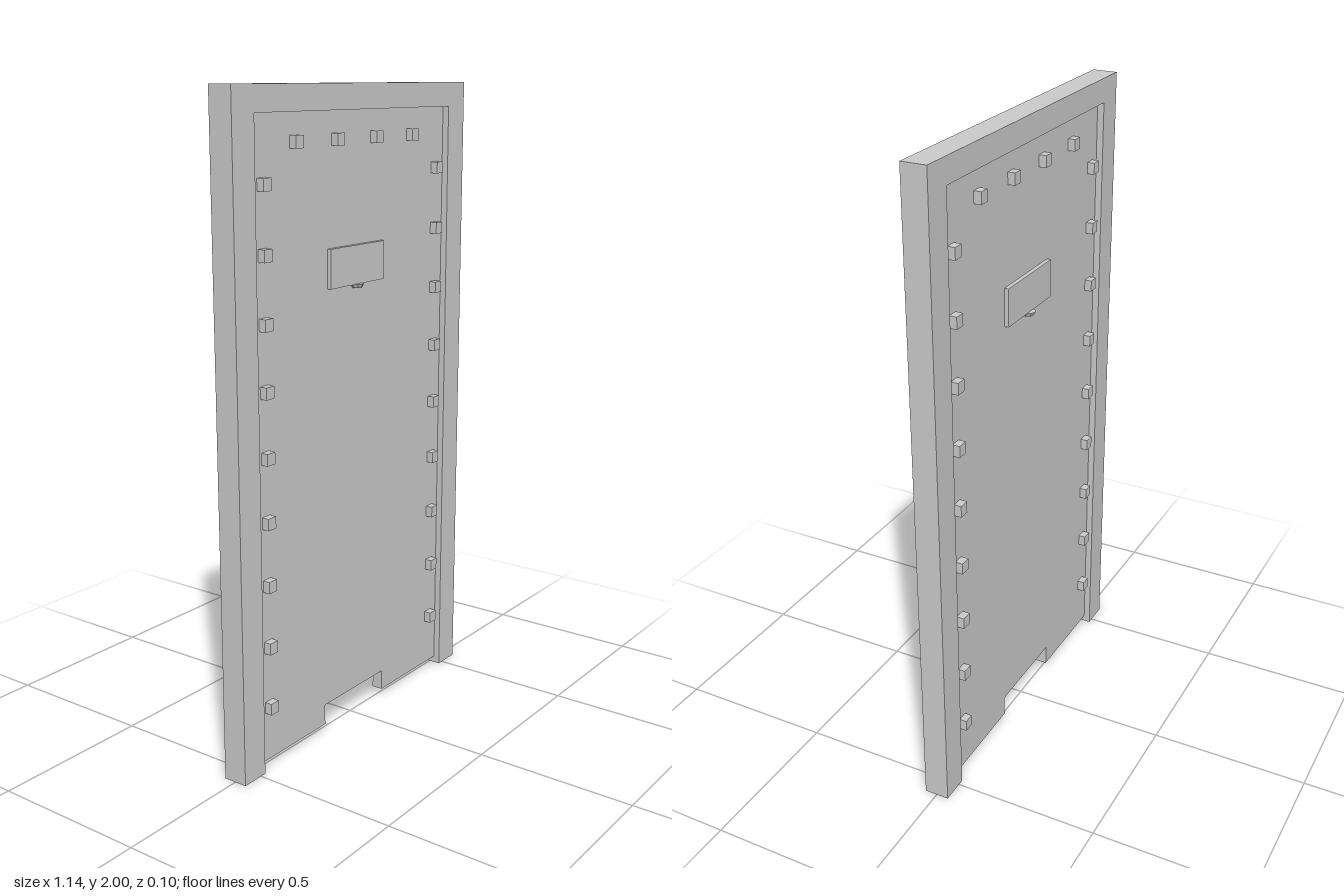
import * as THREE from 'three';

const material = new THREE.MeshStandardMaterial({ color: 0xcccccc, flatShading: true });

// Extrude an outline of [x, y] points, centred on z = 0
function slab(name, points, depth) {
  const shape = new THREE.Shape(points.map(([x, y]) => new THREE.Vector2(x, y)));
  const geometry = new THREE.ExtrudeGeometry(shape, { depth, bevelEnabled: false });
  geometry.translate(0, 0, -depth / 2);
  const mesh = new THREE.Mesh(geometry, material);
  mesh.name = name;
  return mesh;
}

function box(name, w, h, d, x, y, z) {
  const mesh = new THREE.Mesh(new THREE.BoxGeometry(w, h, d), material);
  mesh.name = name;
  mesh.position.set(x, y, z);
  return mesh;
}

// Rivets, viewing hatch and its finger tab, as fitted to one face of the door
function createFittings(name, panelZ) {
  const group = new THREE.Group();
  group.name = name;
  const rivet = (x, y) => group.add(box('rivet', 0.034, 0.036, 0.024, x, y, panelZ + 0.011));

  for (let i = 0; i < 9; i++) {
    for (const side of [-1, 1]) rivet(side * 0.432, 0.195 + i * 0.1925);
  }
  for (let i = 0; i < 4; i++) rivet((i - 1.5) * 0.1925, 1.843);

  group.add(box('hatch', 0.272, 0.118, 0.014, 0, 1.471, panelZ + 0.006));

  // Small tapered finger tab under the hatch
  const tab = new THREE.Mesh(new THREE.CylinderGeometry(0.022, 0.016, 0.012, 8), material);
  tab.name = 'hatchTab';
  tab.position.set(0, 1.407, panelZ + 0.008);
  group.add(tab);
  return group;
}

export function createModel() {
  const model = new THREE.Group();
  model.name = 'door';

  // Three-sided surround, open at the floor
  model.add(slab('frame', [
    [-0.571, 0], [-0.48, 0], [-0.48, 1.925], [0.48, 1.925],
    [0.48, 0], [0.571, 0], [0.571, 2], [-0.571, 2],
  ], 0.078));

  // Recessed door leaf with a slot cut in its lower edge
  const panelDepth = 0.036;
  model.add(slab('panel', [
    [-0.48, 0.022], [-0.157, 0.022], [-0.157, 0.088], [0.155, 0.088],
    [0.155, 0.022], [0.48, 0.022], [0.48, 1.925], [-0.48, 1.925],
  ], panelDepth));

  // The same fittings on both faces
  const front = createFittings('frontFittings', panelDepth / 2);
  const back = createFittings('backFittings', panelDepth / 2);
  back.rotation.y = Math.PI;
  model.add(front, back);

  return model;
}
